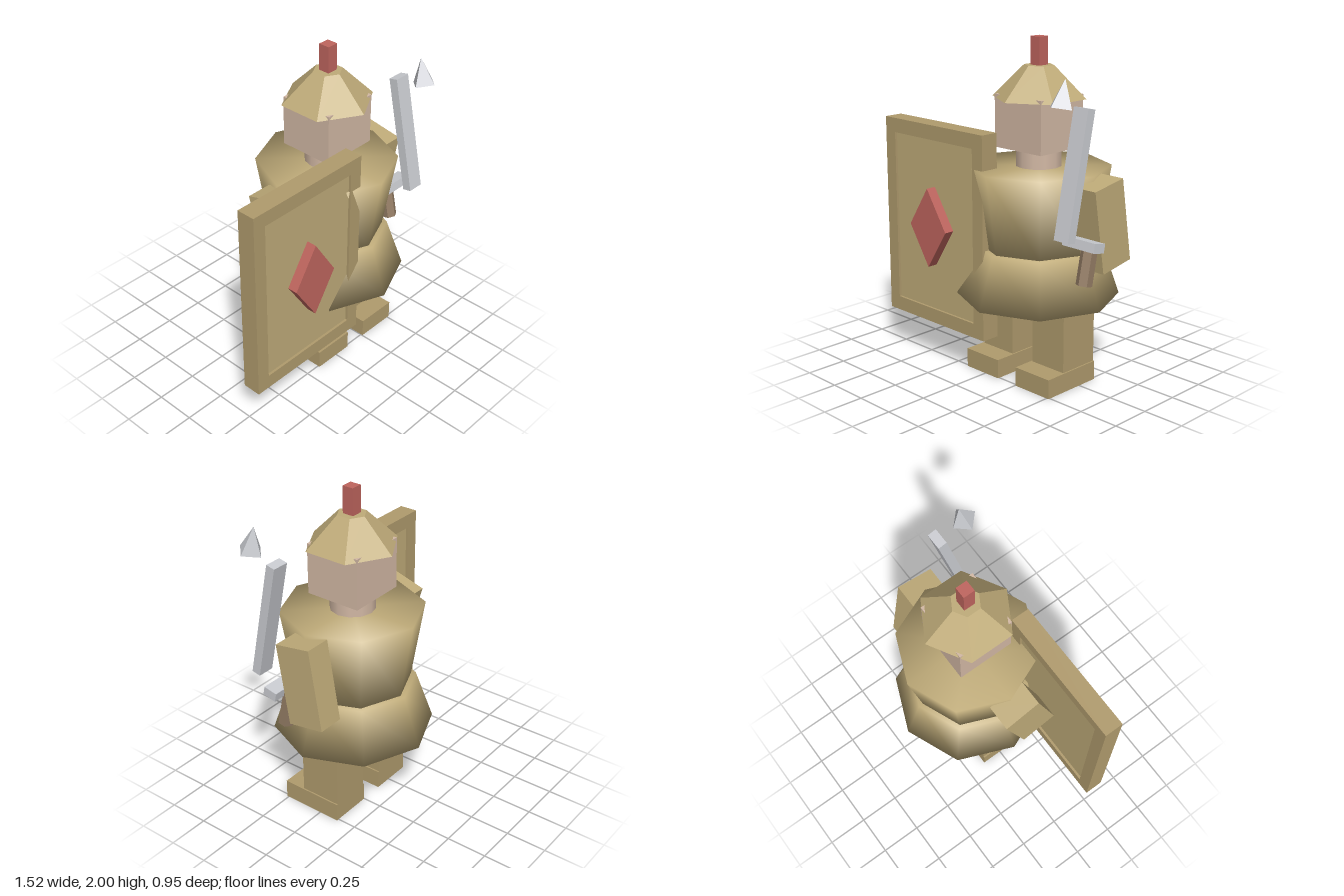
import * as THREE from 'three';

const mat = (color, flat = true) => new THREE.MeshStandardMaterial({ color, flatShading: flat });
const BRONZE = mat(0xb09b6d);
const GOLD = mat(0xbfab79);
const GOLD_SMOOTH = mat(0xbfab79, false);
const SKIN = mat(0xd2b8a4);
const SKIN_SMOOTH = mat(0xd2b8a4, false);
const RED = mat(0xbf655e);
const STEEL = mat(0xcaccd1);
const WOOD = mat(0x947d65);

const BODY_X = 0.18;

export function createModel() {
  const model = new THREE.Group();
  model.name = 'soldier';

  function add(name, geometry, material, x, y, z, tilt = 0, parent = model) {
    const mesh = new THREE.Mesh(geometry, material);
    mesh.name = name;
    mesh.position.set(x, y, z);
    mesh.rotation.x = tilt;
    parent.add(mesh);
    return mesh;
  }
  const box = (w, h, d) => new THREE.BoxGeometry(w, h, d);

  // Closed eight-sided drum with rounded shading
  const drum = (rBottom, rTop, h) => new THREE.LatheGeometry([
    new THREE.Vector2(0, 0), new THREE.Vector2(rBottom, 0),
    new THREE.Vector2(rTop, h), new THREE.Vector2(0, h),
  ], 8);

  // Legs and feet
  for (const [side, s] of [['left', 1], ['right', -1]]) {
    const x = BODY_X + s * 0.204;
    add(side + 'Leg', box(0.244, 0.46, 0.26), BRONZE, x, 0.31, 0);
    add(side + 'Foot', box(0.262, 0.115, 0.392), BRONZE, x, 0.0575, 0.066);
  }

  // Skirt and torso
  add('skirt', drum(0.477, 0.372, 0.305), GOLD_SMOOTH, BODY_X, 0.49, 0);
  add('torso', drum(0.342, 0.42, 0.475), GOLD_SMOOTH, BODY_X, 0.79, 0);

  // Arms: the left swings back, the right swings forward behind the shield
  add('leftArm', box(0.16, 0.49, 0.233), GOLD, BODY_X + 0.45, 0.995, -0.04, 0.165);
  add('rightArm', box(0.16, 0.49, 0.233), GOLD, BODY_X - 0.45, 0.995, 0.068, -0.29);

  // Neck, head and helmet
  add('neck', new THREE.CylinderGeometry(0.134, 0.134, 0.12, 12), SKIN_SMOOTH, BODY_X, 1.32, 0);
  add('head', box(0.36, 0.305, 0.346), SKIN, BODY_X, 1.5225, 0);
  add('helmet', new THREE.CylinderGeometry(0.087, 0.273, 0.185, 6), GOLD, BODY_X, 1.7475, 0);
  add('plume', box(0.07, 0.17, 0.07), RED, BODY_X, 1.915, 0);

  // Shield: rim with a recessed panel and a raised diamond
  const shield = new THREE.Group();
  shield.name = 'shield';
  shield.position.set(-0.343, 0.86, 0.292);
  model.add(shield);
  const rectangle = (Type, w, h) => new Type([
    new THREE.Vector2(-w / 2, -h / 2), new THREE.Vector2(w / 2, -h / 2),
    new THREE.Vector2(w / 2, h / 2), new THREE.Vector2(-w / 2, h / 2),
  ]);
  const rim = rectangle(THREE.Shape, 0.84, 1.22);
  rim.holes.push(rectangle(THREE.Path, 0.675, 1.045));
  const extrude = (shape, depth) => new THREE.ExtrudeGeometry(shape, { depth, bevelEnabled: false });
  add('shieldRim', extrude(rim, 0.115), BRONZE, 0, 0, -0.0575, 0, shield);
  add('shieldPanel', box(0.685, 1.055, 0.085), GOLD, 0, 0, 0, 0, shield);
  const diamond = new THREE.Shape([
    new THREE.Vector2(0, -0.24), new THREE.Vector2(0.155, 0),
    new THREE.Vector2(0, 0.24), new THREE.Vector2(-0.155, 0),
  ]);
  add('shieldDiamond', extrude(diamond, 0.075), RED, 0, 0, 0.03, 0, shield);

  // Sword, leaning back, with a separate point in front of the blade
  const LEAN = -0.206;
  const sword = new THREE.Group();
  sword.name = 'sword';
  model.add(sword);
  const SX = 0.645;
  add('blade', box(0.103, 0.722, 0.056), STEEL, SX, 1.317, 0.214, LEAN, sword);
  add('bladePoint', new THREE.ConeGeometry(0.077, 0.156, 4), STEEL, SX, 1.766, 0.309, LEAN, sword);
  add('guard', box(0.23, 0.054, 0.086), STEEL, SX, 0.917, 0.132, LEAN, sword);
  add('grip', new THREE.CylinderGeometry(0.047, 0.047, 0.24, 6), WOOD, SX, 0.795, 0.098, LEAN, sword);

  return model;
}
